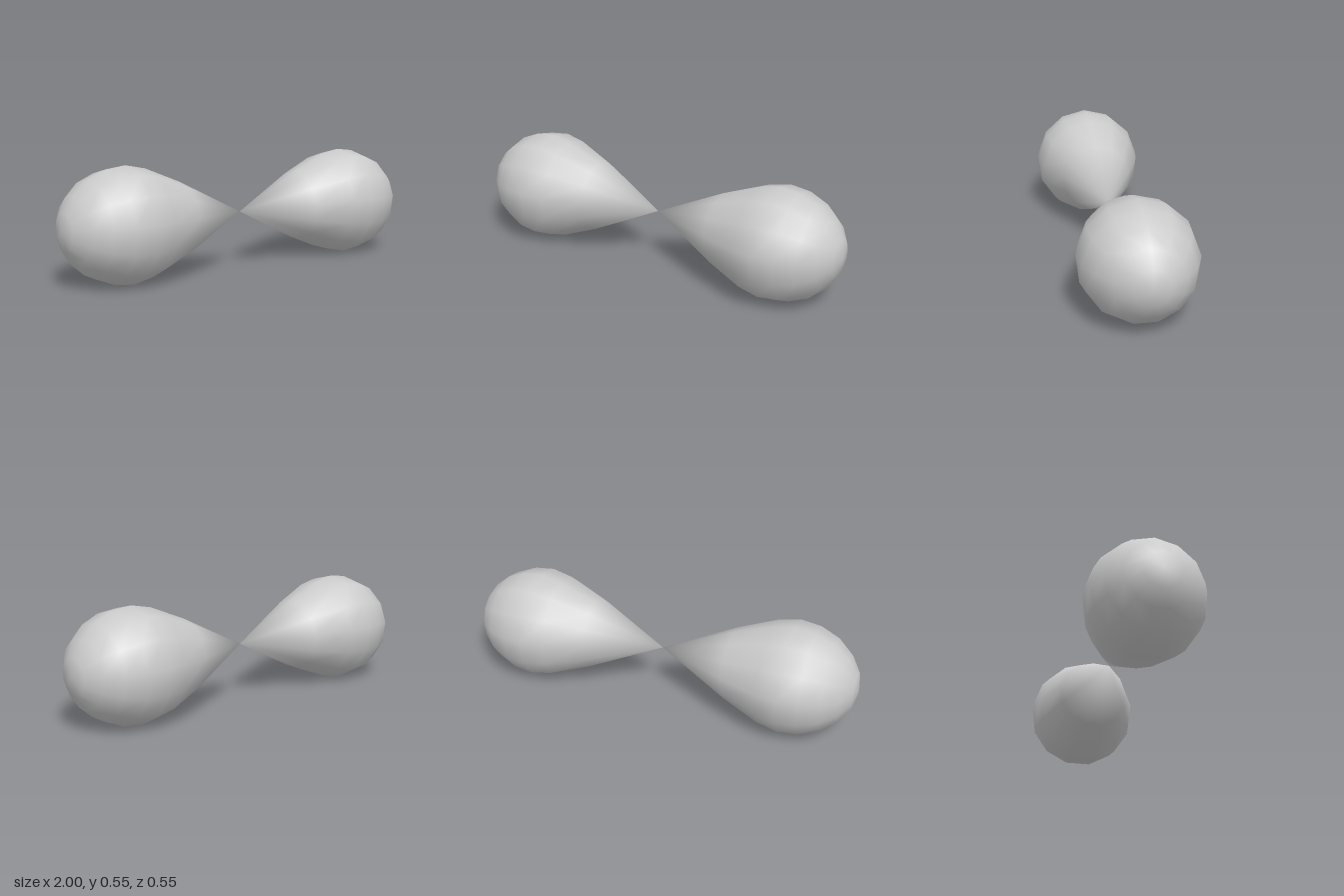
import * as THREE from 'three';
import { mergeVertices } from 'three/addons/utils/BufferGeometryUtils.js';

const SIDES = 13;
const RADIUS = 0.279;

// Teardrop profile: [radius, distance from the pinched centre]
const PROFILE = [
  [0, 0], [0.18, 0.366], [0.257, 0.557], [RADIUS, 0.664], [0.267, 0.766],
  [0.227, 0.862], [0.163, 0.936], [0.087, 0.984], [0, 1],
];

// Smooth teardrop revolved about the x axis, with one corner pointing up
function teardropGeometry() {
  let geometry = new THREE.LatheGeometry(PROFILE.map(([r, d]) => new THREE.Vector2(r, d)), SIDES);
  geometry.rotateX(-Math.PI / 2).rotateY(-Math.PI / 2);
  // Weld the seam and both tips so shading runs smoothly across them
  geometry.deleteAttribute('normal');
  geometry.deleteAttribute('uv');
  geometry = mergeVertices(geometry, 1e-4);
  geometry.computeVertexNormals();
  return geometry;
}

export function createModel() {
  const model = new THREE.Group();
  model.name = 'dumbbell';
  const material = new THREE.MeshStandardMaterial({ color: 0xcccccc });
  const geometry = teardropGeometry();

  // Two mirrored lobes meeting tip to tip, resting on their lowest flat side
  for (const [name, turn] of [['leftLobe', 0], ['rightLobe', Math.PI]]) {
    const lobe = new THREE.Mesh(geometry, material);
    lobe.name = name;
    lobe.rotation.y = turn;
    lobe.position.y = RADIUS * Math.cos(Math.PI / SIDES);
    model.add(lobe);
  }
  return model;
}
